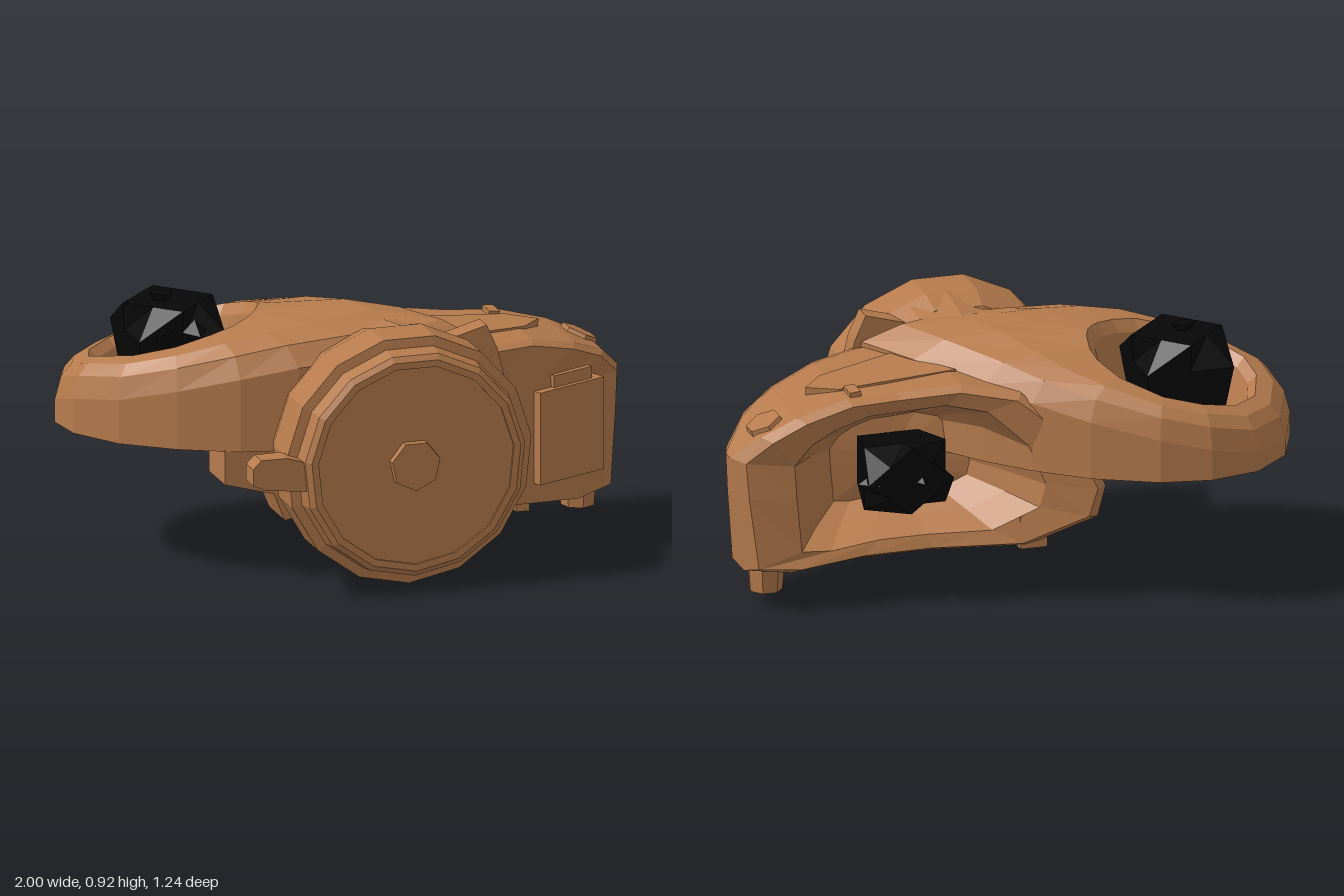
import * as THREE from 'three';

const copper = new THREE.MeshStandardMaterial({ color: 0xb67b4d, flatShading: true });
copper.name = 'copper brown';
const black = new THREE.MeshStandardMaterial({ color: 0x070707, flatShading: true });
black.name = 'black';

// Skin closed rings of [x, y, z] points, capping both ends.
function loft(rings) {
  const pos = [], n = rings[0].length;
  const tri = (...p) => p.forEach((q) => pos.push(...q));
  const centre = (r) => [0, 1, 2].map((k) => r.reduce((s, p) => s + p[k], 0) / n);
  const first = rings[0], last = rings[rings.length - 1];
  const c0 = centre(first), c1 = centre(last);
  for (let i = 0; i < n; i++) {
    const j = (i + 1) % n;
    for (let r = 0; r + 1 < rings.length; r++) {
      const a = rings[r], b = rings[r + 1];
      tri(a[i], a[j], b[j]);
      tri(a[i], b[j], b[i]);
    }
    tri(c0, first[j], first[i]);
    tri(c1, last[i], last[j]);
  }
  const g = new THREE.BufferGeometry();
  g.setAttribute('position', new THREE.Float32BufferAttribute(pos, 3));
  g.computeVertexNormals();
  return g;
}

// Piecewise linear lookup in [x, value] pairs.
function along(table, x) {
  if (x <= table[0][0]) return table[0][1];
  for (let i = 1; i < table.length; i++) {
    const [x0, v0] = table[i - 1], [x1, v1] = table[i];
    if (x <= x1) return v0 + (v1 - v0) * (x - x0) / (x1 - x0);
  }
  return table[table.length - 1][1];
}

// Flat plate cut from an outline in x and y.
function plate(points, depth) {
  const shape = new THREE.Shape(points.map((p) => new THREE.Vector2(...p)));
  return new THREE.ExtrudeGeometry(shape, { depth, bevelEnabled: false });
}

export function createModel() {
  const model = new THREE.Group();
  const add = (name, geo, mat, p = [0, 0, 0], r = [0, 0, 0]) => {
    const m = new THREE.Mesh(geo, mat);
    m.name = name;
    m.position.set(...p);
    m.rotation.set(...r);
    model.add(m);
  };
  const box = (name, size, p, r) => add(name, new THREE.BoxGeometry(...size), copper, p, r);

  // Upright lobe with a flat base, domed top and round socket
  const lobe = [[0.4, 0.28], [0.28, 0.05], [0.1, -0.2], [-0.03, -0.34], [-0.2, -0.48], [-0.42, -0.59],
    [-0.6, -0.62], [-0.78, -0.58], [-0.92, -0.45], [-1, -0.25], [-0.98, -0.1], [-0.87, 0.07],
    [-0.7, 0.2], [-0.5, 0.3], [-0.3, 0.34], [-0.05, 0.34], [0.2, 0.34]];
  const ridge = [[-1, 0.71], [-0.73, 0.79], [-0.57, 0.84], [-0.3, 0.888], [0, 0.9]];
  const hx = -0.58, hz = -0.22;
  const top = (x, z) => along(ridge, x) - 0.25 * Math.max(0, -z - 0.1);
  const onHole = ([x, z], r) => {
    const a = Math.atan2(z - hz, x - hx);
    return [hx + r * Math.cos(a), hz + r * Math.sin(a)];
  };
  const dome = (t, drop) => lobe.map((p) => {
    const h = onHole(p, 0.3);
    const x = p[0] + (h[0] - p[0]) * t, z = p[1] + (h[1] - p[1]) * t;
    return [x, top(x, z) - drop, z];
  });
  const socket = (r, y) => lobe.map((p) => {
    const [x, z] = onHole(p, r);
    return [x, y ?? top(x, z) - 0.04, z];
  });
  add('lobeHousing', loft([
    lobe.map(([x, z]) => [x, 0.48, z]),
    dome(0, 0.11), dome(0.18, 0.035), dome(0.5, 0.005), dome(1, 0),
    socket(0.27), socket(0.22, 0.54),
  ]), copper);

  // Side arm with a slanted front and a funnel recess open to the back
  const arm = [[1, 0.56], [0.91, 0.65], [0.78, 0.71], [0.6, 0.76], [0.42, 0.77], [0.2, 0.79], [0, 0.76],
    [-0.2, 0.6], [-0.28, 0.42], [-0.25, 0.31], [-0.02, 0.2], [0.3, 0.18], [0.55, 0.17],
    [0.8, 0.14], [0.96, 0.15], [0.99, 0.42]];
  const back = [[-0.25, -0.43], [-0.03, -0.35], [0.3, -0.24], [0.5, -0.22], [0.9, -0.22], [1, -0.14]];
  const front = [[-0.3, 0], [0, 0.25], [0.4, 0.32], [0.82, 0.15], [0.94, 0.06], [1, -0.02]];
  const armRing = (sx, sy, table, dz) => arm.map(([x, y]) => {
    const px = 0.36 + (x - 0.36) * sx;
    return [px, 0.47 + (y - 0.47) * sy, along(table, px) + dz];
  });
  add('sideArm', loft([
    armRing(0.38, 0.48, back, 0.22), armRing(0.54, 0.64, back, 0.12), armRing(0.68, 0.78, back, 0.01),
    armRing(0.94, 0.94, back, -0.005), armRing(1, 1, back, 0.03),
    armRing(1, 1, front, -0.04), armRing(0.96, 0.96, front, 0),
    armRing(0.6, 0.6, front, 0), armRing(0.2, 0.2, front, 0),
  ]), copper);

  // Round front drum with stepped cover, and the neck joining it to the lobe
  const profile = [[0, -0.06], [0.22, 0], [0.29, 0.1], [0.32, 0.2], [0.42, 0.27], [0.45, 0.37], [0.45, 0.525],
    [0.415, 0.53], [0.405, 0.59], [0.385, 0.605], [0.36, 0.605], [0.36, 0.597], [0, 0.597]];
  const drum = new THREE.LatheGeometry(profile.map(([r, z]) => new THREE.Vector2(r, z)), 15);
  drum.rotateX(Math.PI / 2);
  add('frontDrum', drum, copper, [0.045, 0.468, 0]);
  add('drumNeck', new THREE.CylinderGeometry(0.33, 0.28, 0.3, 14), copper, [0.06, 0.58, 0.22], [Math.PI / 2, 0, 0]);
  add('coverBoss', new THREE.CylinderGeometry(0.09, 0.095, 0.04, 7), copper, [0.04, 0.47, 0.6], [Math.PI / 2, 0, 0]);

  // Flange and lugs around the drum
  add('sideFlange', plate([[0.2, 0.83], [0.38, 0.88], [0.42, 0.79], [0.485, 0.52], [0.46, 0.32], [0.3, 0.35]], 0.08),
    copper, [0, 0, 0.29]);
  add('sideLug', plate([[-0.515, 0.53], [-0.545, 0.5], [-0.545, 0.44], [-0.5, 0.42], [-0.33, 0.4], [-0.33, 0.5],
    [-0.42, 0.53]], 0.08), copper, [0, 0, 0.5]);
  add('lowerBracket', plate([[-0.55, 0.485], [-0.55, 0.36], [-0.37, 0.31], [-0.33, 0.21], [-0.15, 0.25], [-0.15, 0.485]],
    0.18), copper, [0, 0, 0.1]);
  box('lowerLug', [0.22, 0.13, 0.06], [0.18, 0.07, 0.335], [0, 0, 0.03]);

  // Raised cover on the arm front
  box('frontCover', [0.3, 0.335, 0.1], [0.725, 0.415, 0.165], [0, 0.42, 0]);
  box('frontCoverTab', [0.18, 0.05, 0.08], [0.74, 0.6, 0.15], [0, 0.42, 0]);

  // Raised panel and bosses on the arm top
  const panel = plate([[0.17, 0.1], [0.32, -0.16], [0.62, -0.06], [0.7, 0.03], [0.6, 0.1]], 0.04);
  panel.rotateX(-Math.PI / 2);
  add('topPanel', panel, copper, [0, 0.766, 0], [0, 0, -0.065]);
  add('topBoss', new THREE.CylinderGeometry(0.065, 0.085, 0.08, 6), copper, [0.86, 0.645, -0.1], [0, 0, -0.45]);
  box('topNub', [0.04, 0.08, 0.08], [0.56, 0.74, -0.14], [0, 0, -0.1]);

  // Pegs beneath the body
  add('armPeg', new THREE.CylinderGeometry(0.07, 0.06, 0.13, 7), copper, [0.865, 0.12, -0.09]);
  box('smallPeg', [0.05, 0.07, 0.05], [0.57, 0.17, 0.17]);
  box('rearPeg', [0.1, 0.12, 0.06], [-0.04, 0.25, -0.3]);

  // Black plugs: square body whose end narrows to a diamond, with little spurs
  const plugRing = (y, w, d, even, odd) => Array.from({ length: 8 }, (_, k) => {
    const a = -k * Math.PI / 4, r = k % 2 ? odd : even;
    return [w * r * Math.cos(a), y, d * r * Math.sin(a)];
  });
  const plug = (name, w, d, base, shoulder, p, r) => add(name, loft([
    plugRing(-base, w, d, 0.36, 0.36 * Math.SQRT2),
    plugRing(-shoulder, w, d, 0.48, 0.48 * Math.SQRT2),
    plugRing(0, w, d, 0.5, 0.5 / Math.SQRT2),
  ]), black, p, r);
  const spur = (p, r) => add('plugSpur', new THREE.ConeGeometry(0.045, 0.07, 4), black, p, r);
  plug('topPlug', 0.33, 0.34, 0.36, 0.1, [-0.595, 0.9, -0.22]);
  spur([-0.62, 0.89, -0.22], [Math.PI, 0, 0]);
  spur([-0.665, 0.83, -0.04], [-1.2, 0, 0]);
  spur([-0.55, 0.82, -0.025], [1.57, 0, 0]);
  plug('rearPlug', 0.31, 0.24, 0.28, 0.08, [0.4, 0.475, -0.31], [-Math.PI / 2, 0, 0]);
  spur([0.36, 0.47, -0.305], [-Math.PI / 2, 0, 0]);
  spur([0.55, 0.47, -0.27], [0, 0, -Math.PI / 2]);

  // Small dark opening in the lobe base
  add('baseOpening', new THREE.CylinderGeometry(0.085, 0.085, 0.008, 6), black, [-0.6, 0.479, -0.24]);

  return model;
}
